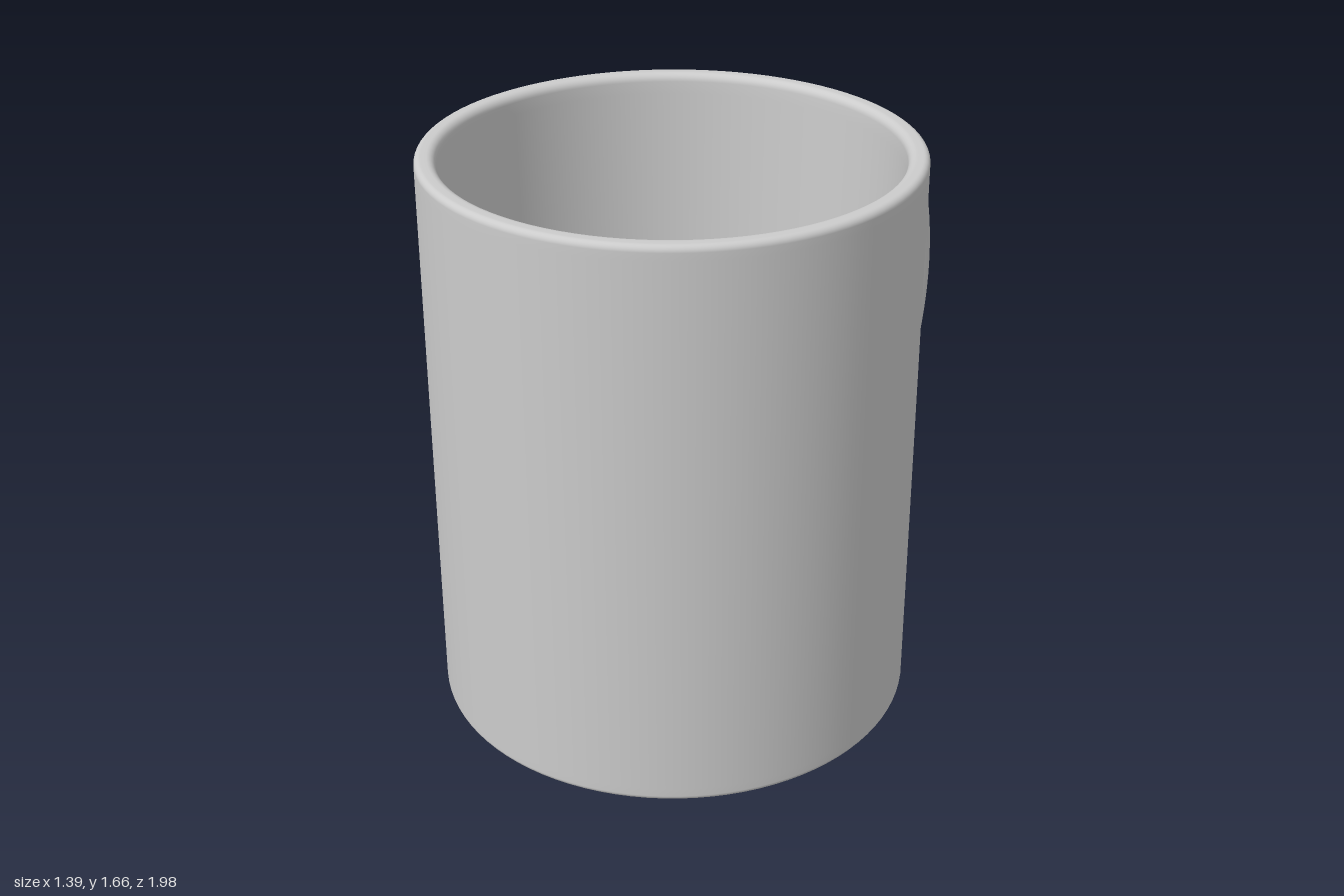
import * as THREE from 'three';

const material = new THREE.MeshStandardMaterial({ color: 0xcccccc, side: THREE.DoubleSide });

// Adds a quarter-like arc of points to a lathe profile
function arc(points, cx, cy, r, from, to, steps = 6) {
  for (let i = 0; i <= steps; i++) {
    const a = THREE.MathUtils.degToRad(from + (to - from) * i / steps);
    points.push(new THREE.Vector2(cx + r * Math.cos(a), cy + r * Math.sin(a)));
  }
}

// Hollow cup: base, outer wall, rounded rim, slightly tapered inside, floor
function makeCup() {
  const R = 0.697, H = 1.665, floor = 0.1;
  const p = [new THREE.Vector2(0, 0), new THREE.Vector2(R - 0.03, 0)];
  arc(p, R - 0.016, 0.016, 0.016, -90, 0);
  p.push(new THREE.Vector2(R, 0.04), new THREE.Vector2(R, H - 0.04));
  arc(p, R - 0.018, H - 0.018, 0.018, 0, 90);
  arc(p, 0.662, H - 0.024, 0.024, 90, 180);
  p.push(new THREE.Vector2(0.636, H - 0.06), new THREE.Vector2(0.603, floor + 0.05));
  arc(p, 0.582, floor + 0.02, 0.02, 0, -90);
  p.push(new THREE.Vector2(0.56, floor), new THREE.Vector2(0, floor));
  const cup = new THREE.Mesh(new THREE.LatheGeometry(p, 96), material);
  cup.name = 'cup';
  return cup;
}

// Handle: a rounded-rectangle section swept along a D curve, flaring at the wall
function makeHandle() {
  const midY = 0.862;
  const upper = [[0.655, 0.573], [0.8, 0.573], [0.95, 0.57], [1.13, 0.505], [1.26, 0.36], [1.322, 0.19]];
  const path = [
    ...upper.map(([r, y]) => new THREE.Vector3(r, midY + y, 0)),
    new THREE.Vector3(1.345, midY, 0),
    ...upper.slice().reverse().map(([r, y]) => new THREE.Vector3(r, midY - y, 0)),
  ];
  const curve = new THREE.CatmullRomCurve3(path, false, 'centripetal');
  const rings = 96, sides = 32, positions = [], index = [];
  const squash = (v) => Math.sign(v) * Math.pow(Math.abs(v), 0.75);
  const fade = (d, length) => Math.pow(THREE.MathUtils.clamp(1 - d / length, 0, 1), 2.2);

  for (let i = 0; i <= rings; i++) {
    const c = curve.getPointAt(i / rings), t = curve.getTangentAt(i / rings);
    const d = Math.max(0, c.x - 0.68);
    const flare = 0.06 * fade(d, 0.27);
    const halfWidth = 0.1 + 0.05 * fade(d, 0.15);
    for (let j = 0; j < sides; j++) {
      const a = j / sides * Math.PI * 2;
      // positive n is the outer face of the loop; the flare grows inwards only
      const n = squash(Math.sin(a)) * (0.054 + flare) - flare;
      positions.push(c.x - t.y * n, c.y + t.x * n, squash(Math.cos(a)) * halfWidth);
      if (i < rings) {
        const k = (j + 1) % sides, a0 = i * sides + j, b0 = i * sides + k;
        index.push(a0, b0, a0 + sides, b0, b0 + sides, a0 + sides);
      }
    }
  }
  const geometry = new THREE.BufferGeometry();
  geometry.setAttribute('position', new THREE.Float32BufferAttribute(positions, 3));
  // wind the faces so that they point outwards
  for (let i = 0; i < index.length; i += 3) [index[i + 1], index[i + 2]] = [index[i + 2], index[i + 1]];
  geometry.setIndex(index);
  geometry.computeVertexNormals();
  const handle = new THREE.Mesh(geometry, material);
  handle.name = 'handle';
  handle.rotation.y = THREE.MathUtils.degToRad(64.8);
  return handle;
}

export function createModel() {
  const mug = new THREE.Group();
  mug.name = 'mug';
  mug.add(makeCup(), makeHandle());
  mug.position.z = 0.303;
  const model = new THREE.Group();
  model.add(mug);
  return model;
}
